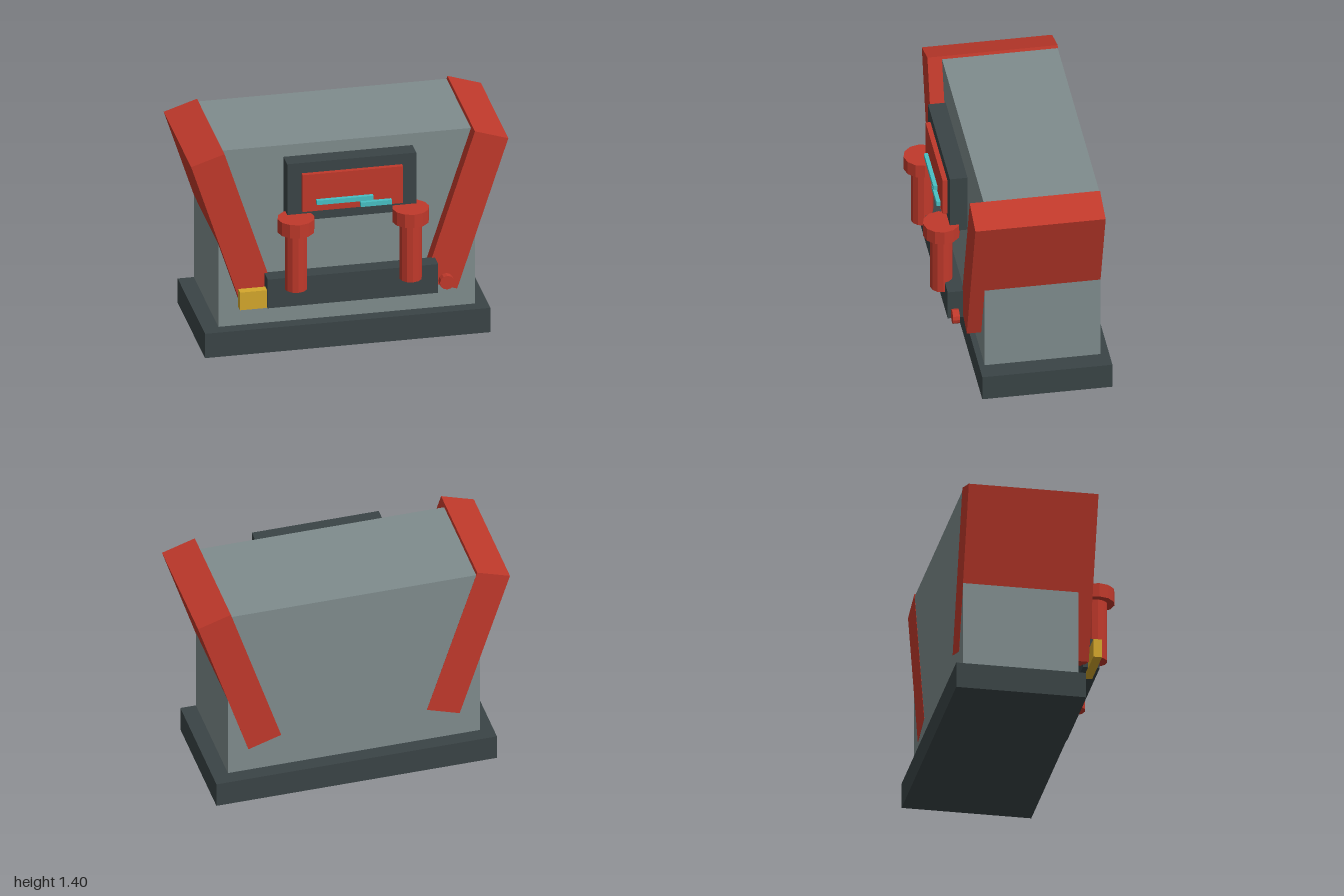
import * as THREE from 'three';

const paint = (color) => new THREE.MeshStandardMaterial({ color, flatShading: true });

export function createModel() {
  const model = new THREE.Group();
  const red = paint(0xc0392b), dark = paint(0x3a4446), grey = paint(0x7f8c8d);
  const cyan = paint(0x48c0c4), yellow = paint(0xd4a72c);

  const add = (name, geometry, material, x, y, z) => {
    const mesh = new THREE.Mesh(geometry, material);
    mesh.name = name;
    mesh.position.set(x, y, z);
    model.add(mesh);
    return mesh;
  };
  // Box given by its extents on each axis
  const box = (name, material, [x0, x1], [y0, y1], [z0, z1]) =>
    add(name, new THREE.BoxGeometry(x1 - x0, y1 - y0, z1 - z0), material,
      (x0 + x1) / 2, (y0 + y1) / 2, (z0 + z1) / 2);

  // Plinth and main body, separated by a narrow gap
  box('base', dark, [-0.895, 0.895], [0, 0.165], [-0.545, 0.265]);
  box('body', grey, [-0.805, 0.805], [0.19, 1.385], [-0.485, 0.235]);

  // Display frame, panel and bars
  box('displayFrame', dark, [-0.405, 0.405], [0.935, 1.325], [0.275, 0.385]);
  box('displayPanel', red, [-0.315, 0.315], [1.005, 1.255], [0.36, 0.415]);
  box('upperBar', cyan, [-0.23, 0.125], [1.055, 1.085], [0.41, 0.44]);
  box('lowerBar', cyan, [0.045, 0.24], [1.015, 1.045], [0.41, 0.44]);

  // Front shelf with its side fittings
  box('shelf', dark, [-0.535, 0.535], [0.375, 0.57], [0.315, 0.42]);
  box('sideBlock', yellow, [-0.705, -0.38], [0.37, 0.49], [0.348, 0.402]);
  add('knob', new THREE.CylinderGeometry(0.046, 0.046, 0.043, 12), red, 0.595, 0.43, 0.382)
    .rotation.x = Math.PI / 2;

  // Mirrored slanted side walls and capped pillars
  for (const [side, s] of [['left', 1], ['right', -1]]) {
    add(side + 'SlantedWall', new THREE.BoxGeometry(0.22, 1.04, 0.811), red, s * 0.73, 0.875, -0.0805)
      .rotation.z = -s * 0.314;
    add(side + 'Pillar', new THREE.CylinderGeometry(0.07, 0.07, 0.44, 12), red, s * 0.36, 0.72, 0.43);
    add(side + 'PillarCap', new THREE.CylinderGeometry(0.115, 0.115, 0.09, 12), red, s * 0.36, 0.935, 0.43);
  }
  return model;
}
